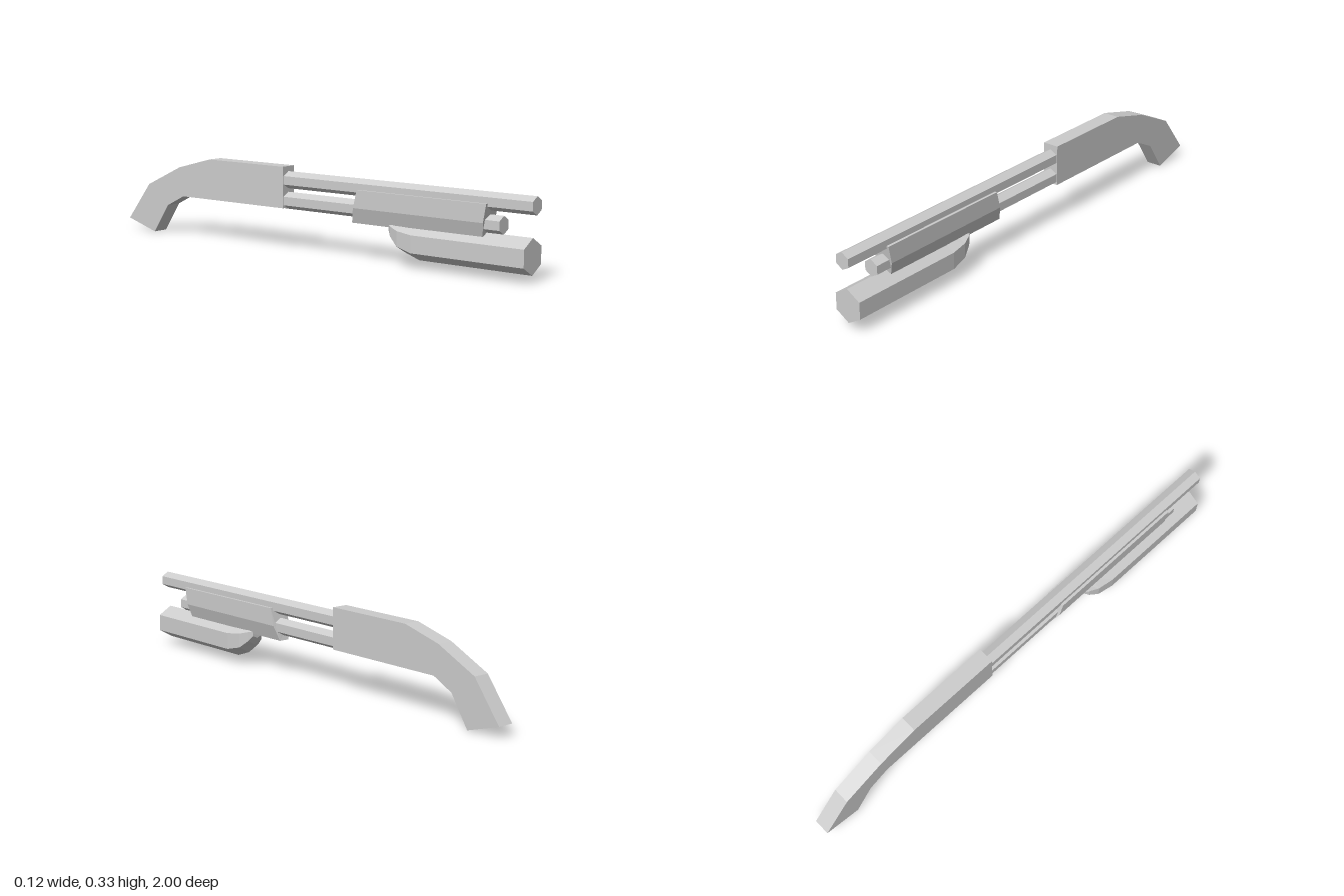
import * as THREE from 'three';

const material = new THREE.MeshStandardMaterial({ color: 0xcccccc, flatShading: true });

function addPart(group, name, geometry) {
  const mesh = new THREE.Mesh(geometry, material);
  mesh.name = name;
  group.add(mesh);
}

// Six-sided rod along z with an edge on top
function hexRod(radius, y, zBack, zFront) {
  return new THREE.CylinderGeometry(radius, radius, zFront - zBack, 6)
    .rotateX(Math.PI / 2)
    .translate(0, y, (zFront + zBack) / 2);
}

// Closed skin over rings ordered front to back, each counterclockwise seen from the front
function loft(rings) {
  const n = rings[0].length;
  const index = [];
  const last = (rings.length - 1) * n;
  for (let i = 0; i < rings.length - 1; i++) {
    for (let j = 0; j < n; j++) {
      const a = i * n + j, b = i * n + (j + 1) % n;
      index.push(a, a + n, b, b, a + n, b + n);
    }
  }
  for (let j = 1; j < n - 1; j++) {
    index.push(0, j, j + 1, last, last + j + 1, last + j);
  }
  const geometry = new THREE.BufferGeometry();
  geometry.setAttribute('position', new THREE.Float32BufferAttribute(rings.flat(2), 3));
  geometry.setIndex(index);
  const flat = geometry.toNonIndexed();
  flat.computeVertexNormals();
  return flat;
}

export function createModel() {
  const group = new THREE.Group();

  // Receiver and curved grip: one side profile (z, y) given thickness
  const profile = [
    [-0.135, 0.165], [-0.135, 0.33], [-0.53, 0.33], [-0.7, 0.285], [-0.88, 0.2],
    [-1, 0.045], [-0.85, 0], [-0.77, 0.12], [-0.68, 0.165],
  ];
  const shape = new THREE.Shape(profile.map(([z, y]) => new THREE.Vector2(z, y)));
  const body = new THREE.ExtrudeGeometry(shape, { depth: 0.066, bevelEnabled: false })
    .rotateY(-Math.PI / 2)
    .translate(0.033, 0, 0);
  addPart(group, 'receiverAndGrip', body);

  // Upper barrel and lower tube
  addPart(group, 'barrel', hexRod(0.034, 0.276, -0.15, 1));
  addPart(group, 'lowerTube', hexRod(0.034, 0.194, -0.15, 0.865));

  // Sliding fore-end with slanted ends: half width, y, front z, back z
  const levels = [[0.021, 0.14, 0.79, 0.2], [0.04, 0.2, 0.802, 0.218], [0.04, 0.27, 0.815, 0.235]];
  const foreEndRing = (k) => [
    ...levels.map((l) => [l[0], l[1], l[k]]),
    ...[...levels].reverse().map((l) => [-l[0], l[1], l[k]]),
  ];
  addPart(group, 'foreEnd', loft([foreEndRing(2), foreEndRing(3)]));

  // Under-slung hexagonal lamp, tapering up at its rear:
  // z, half width, then y of top, upper side, lower side and bottom edges
  const sections = [
    [0.985, 0.058, 0.161, 0.127, 0.06, 0.026],
    [0.5, 0.058, 0.161, 0.127, 0.06, 0.026],
    [0.43, 0.05, 0.161, 0.135, 0.077, 0.05],
    [0.39, 0.035, 0.161, 0.146, 0.108, 0.09],
    [0.373, 0.022, 0.16, 0.15, 0.13, 0.12],
  ];
  const lampRings = sections.map(([z, w, top, upper, lower, bottom]) => [
    [0, bottom, z], [w, lower, z], [w, upper, z], [0, top, z], [-w, upper, z], [-w, lower, z],
  ]);
  addPart(group, 'lamp', loft(lampRings));

  return group;
}
